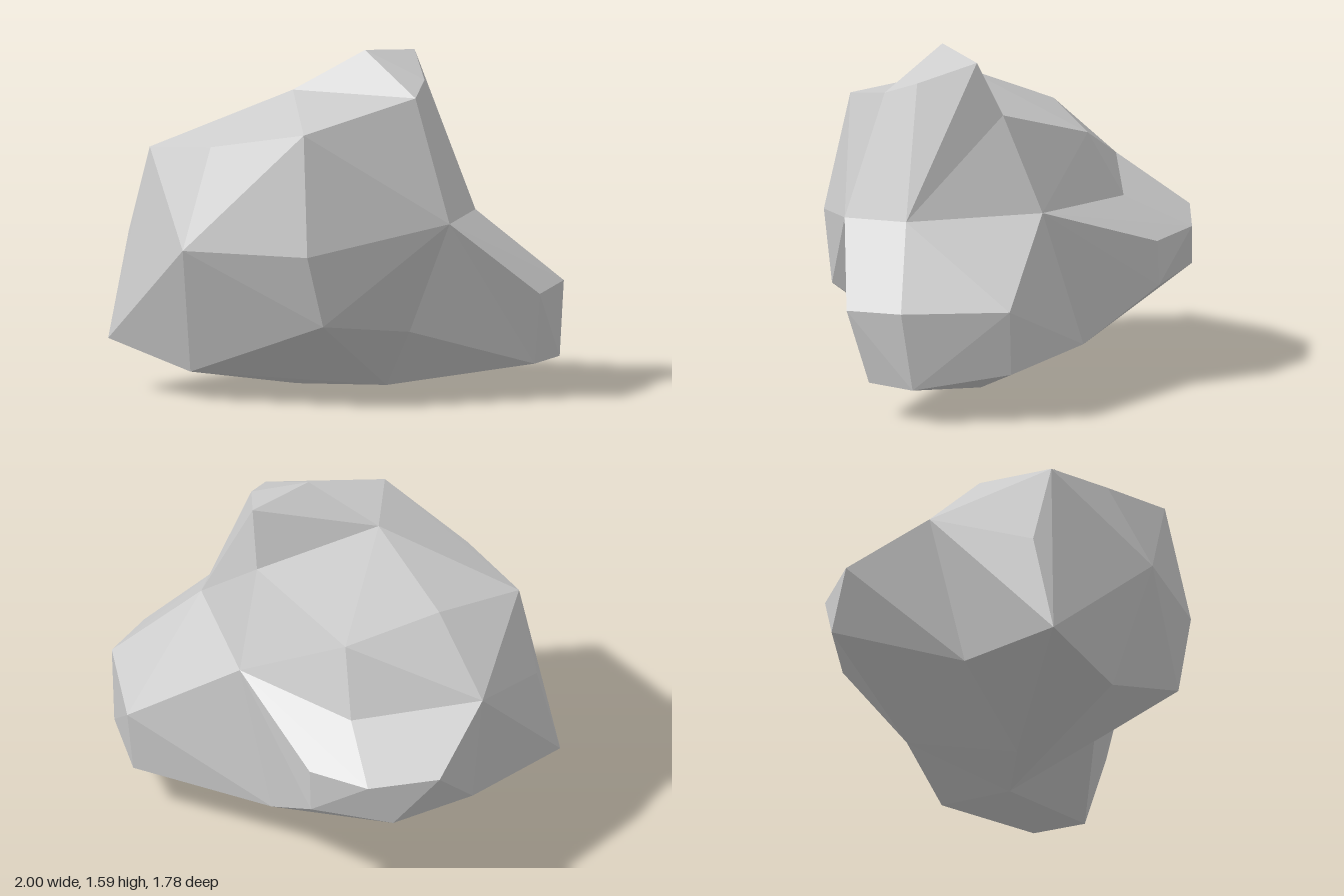
import * as THREE from 'three';
import { ConvexGeometry } from 'three/addons/geometries/ConvexGeometry.js';

// Corners shared by neighbouring lumps, so their facets meet cleanly
const crestRight = [0.57, 1.4, -0.02], crestFront = [0, 1.4, 0.22], crestBack = [0.14, 1.31, -0.36];
const shoulder = [0.79, 0.84, -0.03], shoulderBack = [0.64, 0.86, -0.33];
const saddle = [0.03, 0.87, -0.53], backFoot = [-0.2, 0.22, -0.51];
const hipRight = [0.53, 0.31, -0.02], base = [0.17, 0, -0.21];
const ledgeInner = [-0.54, 0.84, -0.3], ledgeFront = [-0.82, 0.9, 0.24], leftFoot = [-0.65, 0.22, 0.3];

const material = new THREE.MeshStandardMaterial({ color: 0xcccccc, flatShading: true });

// A faceted convex lump of stone
function lump(name, corners) {
  const mesh = new THREE.Mesh(new ConvexGeometry(corners.map((c) => new THREE.Vector3(...c))), material);
  mesh.name = name;
  return mesh;
}

export function createModel() {
  const rock = new THREE.Group();
  rock.name = 'rock';

  // Main boulder
  rock.add(lump('boulder', [
    crestRight, crestFront, crestBack, shoulder, shoulderBack, saddle, backFoot, hipRight, base,
    ledgeInner, ledgeFront, leftFoot,
    [-0.48, 1.2, 0.23], [-0.39, 1.14, -0.23],                     // rounded left top
    [0.42, 1.27, 0.54], [-0.08, 1.17, 0.66], [-0.47, 1.13, 0.68], // front brow
    [0.52, 0.72, 0.61], [-0.02, 0.72, 0.89], [-0.6, 0.73, 0.69],  // front belly
    [0.53, 0.39, 0.52], [-0.13, 0.13, 0.74], [-0.6, 0.24, 0.82],  // lower front
    [-0.1, 0.01, 0.1],                                            // underside
  ]));

  // Pointed top
  rock.add(lump('peak', [
    [0.25, 1.59, 0], [0.25, 1.56, -0.31], [0.48, 1.46, -0.16],
    crestRight, crestFront, crestBack, shoulder, shoulderBack,
  ]));

  // Low spur at the back
  rock.add(lump('spur', [
    shoulder, shoulderBack, saddle, backFoot, hipRight, base,
    [0.42, 0.52, -0.89], [0.87, 0.52, -0.67], [1, 0.5, -0.4],
    [0.4, 0.22, -0.87], [0.82, 0.16, -0.69], [0.91, 0.16, -0.45],
  ]));

  // Ledge bulging out of the side
  rock.add(lump('ledge', [
    saddle, backFoot, ledgeInner, ledgeFront, leftFoot,
    [-1, 0.71, -0.12], [-0.84, 0.68, -0.41], [-0.57, 0.67, -0.55],
    [-0.58, 0.46, -0.55], [-0.9, 0.48, -0.31],
  ]));

  return rock;
}
